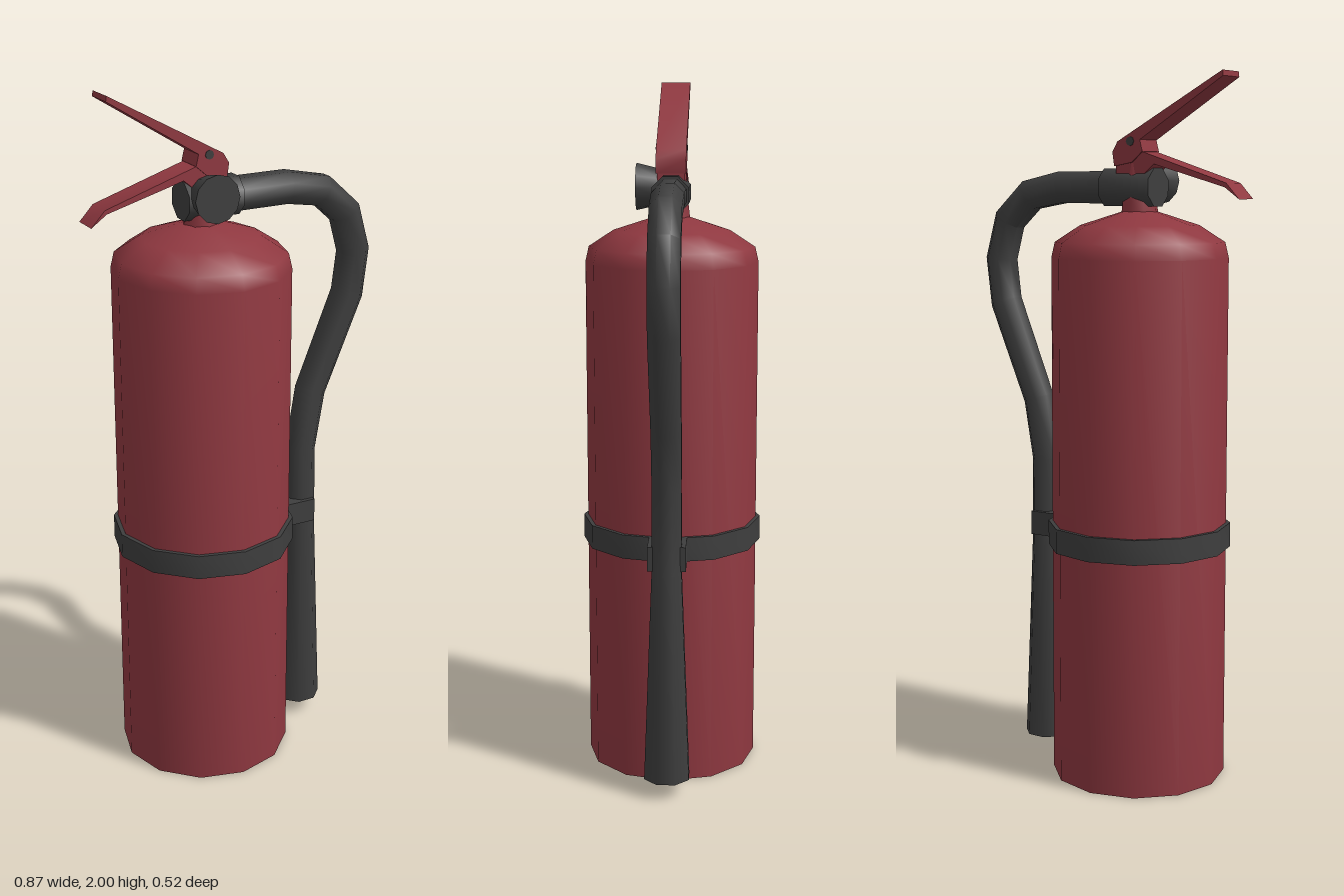
import * as THREE from 'three';
import { toCreasedNormals } from 'three/addons/utils/BufferGeometryUtils.js';

const AXIS_X = -0.1; // centre line of the tank

export function createModel() {
  const model = new THREE.Group();
  model.name = 'fireExtinguisher';
  const red = new THREE.MeshStandardMaterial({ color: 0x8f3840 });
  red.name = 'red paint';
  const black = new THREE.MeshStandardMaterial({ color: 0x3e3e3e });
  black.name = 'black rubber';

  function add(name, geometry, material, x = 0, y = 0, z = 0) {
    const mesh = new THREE.Mesh(toCreasedNormals(geometry, 0.9), material);
    mesh.name = name;
    mesh.position.set(x, y, z);
    model.add(mesh);
    return mesh;
  }

  const lathe = (points, sides) =>
    new THREE.LatheGeometry(points.map(([r, y]) => new THREE.Vector2(r, y)), sides);

  // Side outline in x and y, given depth centred on z = 0
  function plate(outline, depth) {
    const shape = new THREE.Shape(outline.map(([x, y]) => new THREE.Vector2(x, y)));
    return new THREE.ExtrudeGeometry(shape, { depth, bevelEnabled: false }).translate(0, 0, -depth / 2);
  }

  // Tube through [x, y, half width] stations with flat sides facing z
  function hoseGeometry(stations, sides) {
    const positions = [], index = [], n = stations.length;
    stations.forEach(([x, y, half], i) => {
      const a = stations[Math.max(i - 1, 0)], b = stations[Math.min(i + 1, n - 1)];
      const t = new THREE.Vector2(b[0] - a[0], b[1] - a[1]).normalize();
      const r = half / Math.cos(Math.PI / sides);
      for (let k = 0; k < sides; k++) {
        const angle = ((k + 0.5) / sides) * Math.PI * 2;
        const c = Math.cos(angle) * r;
        positions.push(x - t.y * c, y + t.x * c, Math.sin(angle) * r);
      }
    });
    for (let i = 0; i < n - 1; i++) {
      for (let k = 0; k < sides; k++) {
        const a = i * sides + k, b = i * sides + ((k + 1) % sides);
        index.push(a, b, a + sides, b, b + sides, a + sides);
      }
    }
    // End caps
    const last = (n - 1) * sides;
    for (let k = 1; k < sides - 1; k++) {
      index.push(0, k + 1, k, last, last + k, last + k + 1);
    }
    const geometry = new THREE.BufferGeometry();
    geometry.setAttribute('position', new THREE.Float32BufferAttribute(positions, 3));
    geometry.setIndex(index);
    return geometry;
  }

  // Tank with rounded shoulder
  add('tank', lathe([[0, 0], [0.25, 0], [0.25, 1.497], [0.24, 1.54], [0.168, 1.587], [0.05, 1.625], [0, 1.625]], 12), red, AXIS_X);

  // Neck
  add('neck', lathe([[0.055, 1.6], [0.048, 1.66], [0.04, 1.76], [0, 1.76]], 8), red, AXIS_X);

  // Strap around the tank and clip holding the hose
  add('strap', lathe([[0.245, 0.67], [0.262, 0.67], [0.262, 0.74], [0.245, 0.74]], 12), black, AXIS_X);
  add('hoseClip', new THREE.BoxGeometry(0.105, 0.07, 0.108), black, 0.195, 0.705, 0);

  // Valve body lying along x
  const valve = new THREE.CylinderGeometry(0.057, 0.057, 0.167, 8).rotateY(Math.PI / 8).rotateZ(-Math.PI / 2);
  add('valve', valve, black, -0.077, 1.692, 0);

  // Pressure gauge on the front
  const gauge = new THREE.CylinderGeometry(0.067, 0.05, 0.07, 12).rotateX(Math.PI / 2);
  add('gauge', gauge, black, AXIS_X, 1.71, 0.066);

  // Hose widening into the nozzle
  add('hose', hoseGeometry([
    [-0.02, 1.692, 0.045], [0.165, 1.692, 0.045], [0.278, 1.67, 0.044], [0.358, 1.597, 0.044],
    [0.39, 1.483, 0.044], [0.374, 1.355, 0.044], [0.256, 1.073, 0.042], [0.226, 0.895, 0.041],
    [0.227, 0.66, 0.042], [0.227, 0.05, 0.064],
  ], 8), black);

  // Squeeze lever above, carry handle below
  add('upperLever', plate([
    [-0.39, 1.985], [-0.127, 1.822], [-0.135, 1.79], [-0.1, 1.76], [-0.042, 1.75],
    [-0.036, 1.79], [-0.053, 1.818], [-0.388, 2],
  ], 0.086), red);
  add('lowerHandle', plate([
    [-0.44, 1.66], [-0.395, 1.692], [-0.17, 1.755], [-0.14, 1.73], [-0.045, 1.73],
    [-0.045, 1.79], [-0.13, 1.79], [-0.4, 1.703],
  ], 0.078), red);

  // Hinge pin through the lever
  add('hingePin', new THREE.CylinderGeometry(0.013, 0.013, 0.09, 8).rotateX(Math.PI / 2), black, -0.095, 1.818, 0);

  return model;
}
